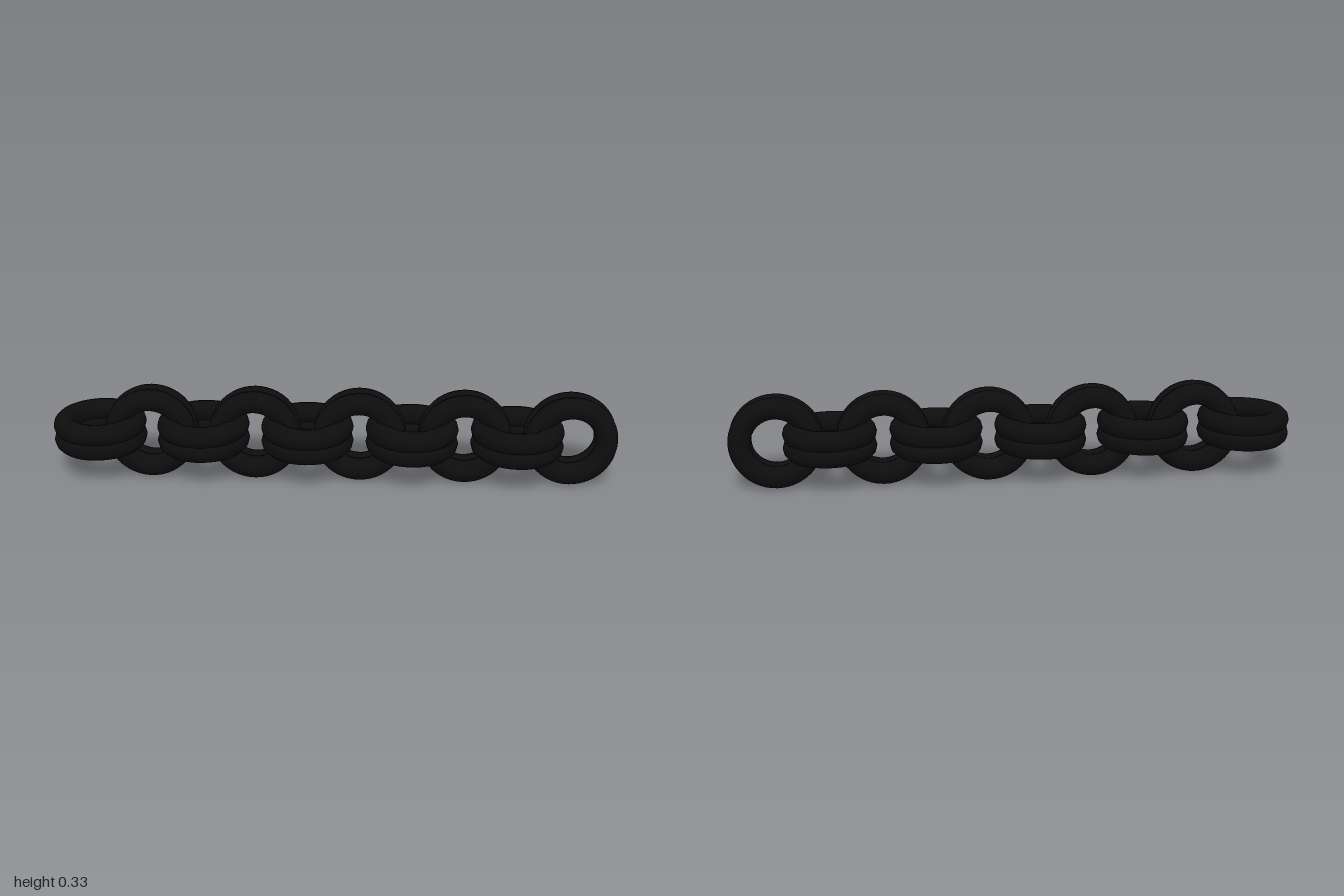
import * as THREE from 'three';

const LINKS = 10;
const RING = 0.125;   // centre radius of each ring
const TUBE = 0.039;   // thickness radius of each ring
const OFFSET = 0.026; // half spacing of the two rings in a link
const OUTER = RING + TUBE;

export function createModel() {
  const chain = new THREE.Group();
  chain.name = 'chain';
  const material = new THREE.MeshStandardMaterial({ color: 0x0d0d0d });
  const ringGeometry = new THREE.TorusGeometry(RING, TUBE, 12, 48);

  // Each link is two overlapping rings, side by side
  function makeLink() {
    const link = new THREE.Group();
    for (const side of [-1, 1]) {
      const ring = new THREE.Mesh(ringGeometry, material);
      ring.name = side < 0 ? 'backRing' : 'frontRing';
      ring.position.z = side * OFFSET;
      link.add(ring);
    }
    return link;
  }

  // Links alternate between lying flat and standing upright
  const step = (2 - 2 * OUTER) / (LINKS - 1);
  for (let i = 0; i < LINKS; i++) {
    const flat = i % 2 === 0;
    const link = makeLink();
    link.name = flat ? 'flatLink' : 'uprightLink';
    link.position.set(-1 + OUTER + i * step, OUTER, 0);
    if (flat) link.rotation.x = Math.PI / 2;
    chain.add(link);
  }
  return chain;
}
